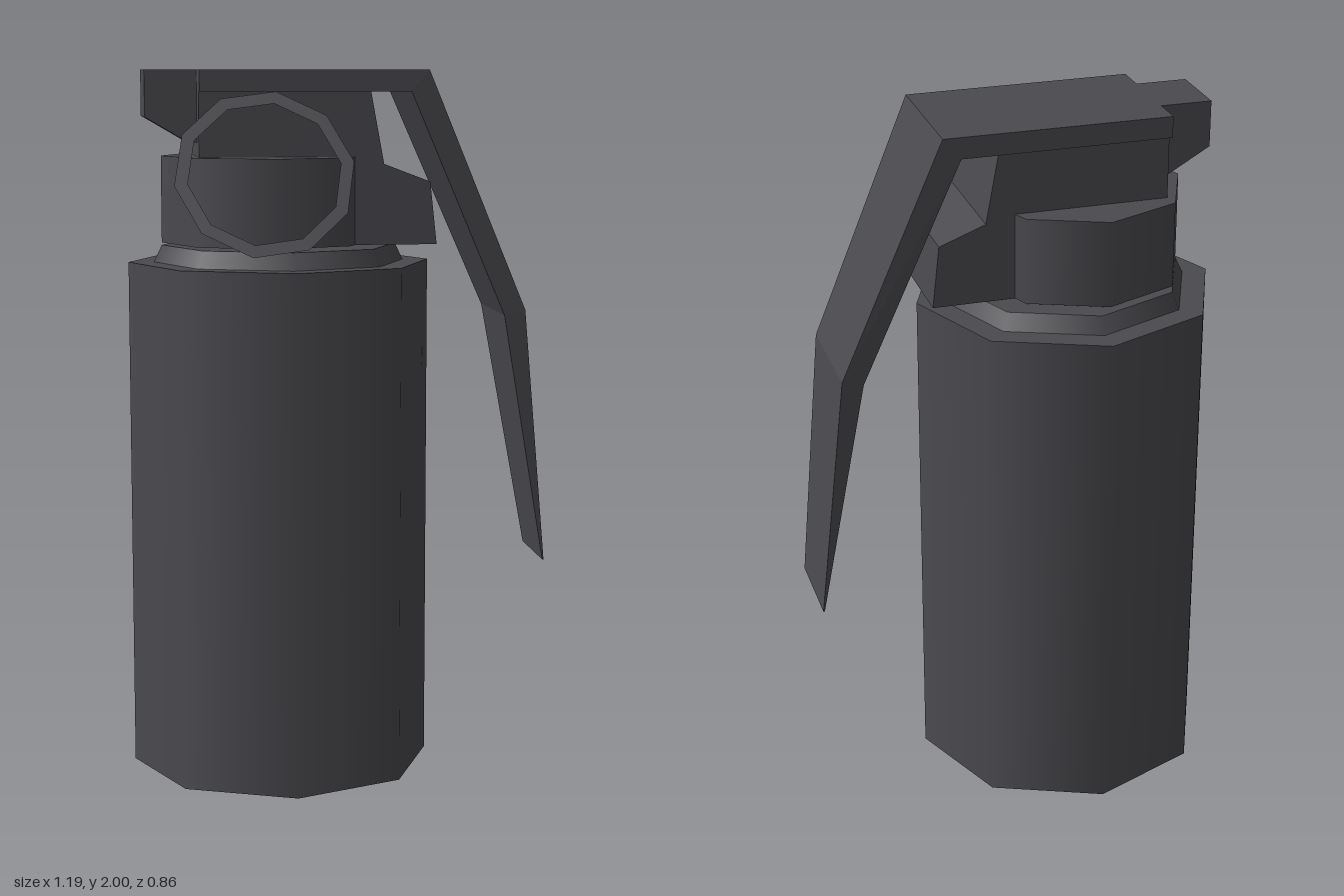
import * as THREE from 'three';

const metal = new THREE.MeshStandardMaterial({ color: 0x4b4a4f });
metal.name = 'dark grey metal';
const metalThin = metal.clone();
metalThin.side = THREE.DoubleSide;

function add(group, name, geometry, material = metal) {
  const mesh = new THREE.Mesh(geometry, material);
  mesh.name = name;
  group.add(mesh);
  return mesh;
}

// Octagonal drum standing between two heights
function drum(rTop, rBottom, y0, y1, x) {
  return new THREE.CylinderGeometry(rTop, rBottom, y1 - y0, 8).translate(x, (y0 + y1) / 2, 0);
}

// Side profile extruded across z; halfWidth gives the half width at each height
function slab(points, halfWidth) {
  const shape = new THREE.Shape(points.map(([x, y]) => new THREE.Vector2(x, y)));
  const geo = new THREE.ExtrudeGeometry(shape, { depth: 2, bevelEnabled: false }).translate(0, 0, -1);
  const pos = geo.attributes.position;
  for (let i = 0; i < pos.count; i++) pos.setZ(i, pos.getZ(i) * halfWidth(pos.getY(i)));
  geo.computeVertexNormals();
  return geo;
}

export function createModel() {
  const group = new THREE.Group();

  // Canister and stepped top
  add(group, 'body', drum(0.43, 0.43, 0, 1.46, -0.165));
  add(group, 'collar', drum(0.335, 0.358, 1.46, 1.508, -0.165));
  add(group, 'fuzeHousing', drum(0.3, 0.3, 1.515, 1.76, -0.2));

  // Block carrying the lever
  add(group, 'fuzeBlock', slab([
    [-0.405, 1.6], [0.0, 1.515], [0.262, 1.515], [0.243, 1.69],
    [0.112, 1.74], [0.075, 1.94], [-0.405, 1.94],
  ], () => 0.168));

  // Hinge tab behind the lever
  add(group, 'hingeTab', slab([
    [-0.55, 2], [-0.55, 1.87], [-0.43, 1.8], [-0.405, 1.8], [-0.405, 2],
  ], () => 0.1));

  // Bent lever, narrowing towards its tip
  add(group, 'lever', slab([
    [-0.405, 1.94], [0.185, 1.94], [0.46, 1.31], [0.588, 0.59],
    [0.592, 0.59], [0.52, 1.325], [0.235, 2], [-0.405, 2],
  ], (y) => (y > 1.9 ? 0.193 : y > 1 ? 0.166 : 0.13)));

  // Tilted pull ring
  const ring = add(group, 'pullRing',
    new THREE.RingGeometry(0.213, 0.25, 10, 1, THREE.MathUtils.degToRad(8)), metalThin);
  ring.position.set(-0.235, 1.72, 0.287);
  ring.rotation.x = -0.466;

  return group;
}
